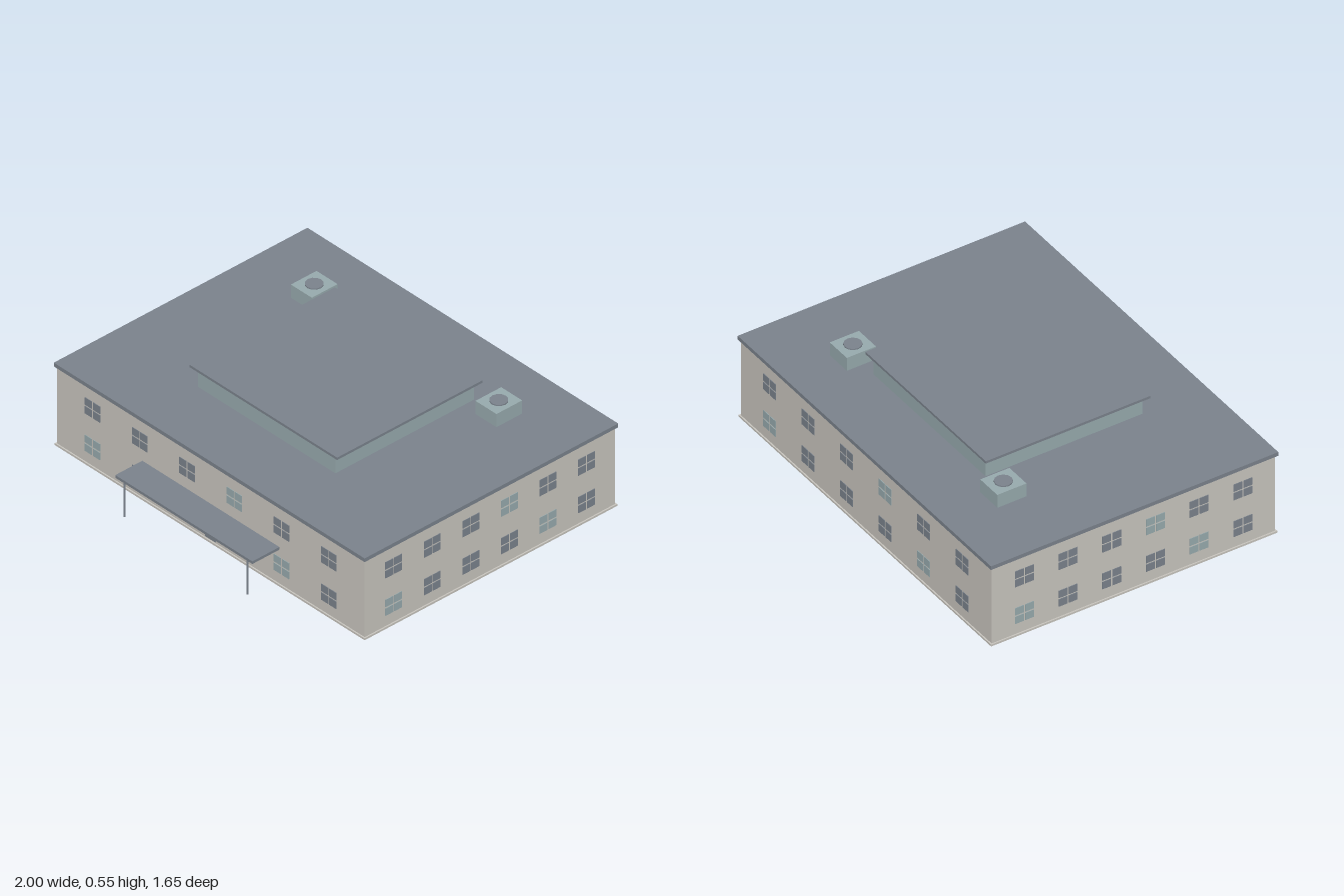
import * as THREE from 'three';

const mat = (name, color) => Object.assign(new THREE.MeshStandardMaterial({ color }), { name });

export function createModel() {
  const wall = mat('wallStone', 0xc9c6bf);
  const slate = mat('slate', 0x7b838d);
  const pale = mat('paleBlueGrey', 0x98abae);
  const model = new THREE.Group();
  model.name = 'officeBuilding';

  const add = (parent, name, geometry, material, x, y, z) => {
    const mesh = new THREE.Mesh(geometry, material);
    mesh.name = name;
    mesh.position.set(x, y, z);
    parent.add(mesh);
    return mesh;
  };
  // Box given by its width, bottom and top, depth and centre
  const box = (parent, name, material, w, y0, y1, d, x = 0, z = 0) =>
    add(parent, name, new THREE.BoxGeometry(w, y1 - y0, d), material, x, (y0 + y1) / 2, z);

  // Main block and its flat roof
  const cz = -0.075;
  const halfW = 0.99, halfD = 0.74;
  box(model, 'plinth', wall, 1.994, 0, 0.01, 1.494, 0, cz);
  box(model, 'walls', wall, halfW * 2, 0.01, 0.42, halfD * 2, 0, cz);
  box(model, 'roofSlab', slate, 2, 0.42, 0.44, 1.5, 0, cz);

  // Rooftop storey
  box(model, 'penthouseWalls', pale, 0.885, 0.44, 0.537, 0.82, 0, cz);
  box(model, 'penthouseRoof', slate, 0.95, 0.537, 0.55, 0.86, 0, cz);

  // Rooftop ventilation units
  for (const side of [-1, 1]) {
    const unit = new THREE.Group();
    unit.name = side > 0 ? 'leftVentUnit' : 'rightVentUnit';
    unit.position.set(side * 0.594, 0, -0.492);
    model.add(unit);
    box(unit, 'ventBox', pale, 0.135, 0.44, 0.51, 0.152);
    add(unit, 'ventFan', new THREE.CylinderGeometry(0.042, 0.042, 0.007, 12), slate, 0, 0.5125, 0);
  }

  // Four-pane windows in two rows, one group per facade
  const pane = new THREE.BoxGeometry(0.045, 0.039, 0.004);
  const lit = ['0,0', '0,4', '1,3'];
  const facade = (name, angle, distance, spacing) => {
    const group = new THREE.Group();
    group.name = name;
    group.rotation.y = angle;
    group.position.z = cz;
    model.add(group);
    [0.109, 0.309].forEach((y, row) => {
      for (let i = 0; i < 6; i++) {
        const material = lit.includes(`${row},${i}`) ? pale : slate;
        const window = new THREE.Group();
        window.name = 'window';
        window.position.set((i - 2.5) * spacing, y, distance + 0.001);
        group.add(window);
        for (const sx of [-1, 1]) for (const sy of [-1, 1])
          add(window, 'pane', pane, material, sx * 0.0262, sy * 0.0232, 0);
      }
    });
  };
  facade('frontWindows', 0, halfD, 0.304);
  facade('leftWindows', Math.PI / 2, halfW, 0.228);
  facade('backWindows', Math.PI, halfD, 0.304);
  facade('rightWindows', -Math.PI / 2, halfW, 0.228);

  // Entrance door with handle
  const front = cz + halfD;
  box(model, 'door', slate, 0.066, 0.018, 0.147, 0.008, 0, front + 0.001);
  add(model, 'doorHandle', new THREE.SphereGeometry(0.005, 10, 8), pale, 0.021, 0.072, front + 0.006);

  // Entrance canopy on two posts
  box(model, 'canopy', slate, 0.882, 0.19, 0.204, 0.16, 0, 0.745);
  for (const x of [-0.396, 0.396])
    add(model, 'canopyPost', new THREE.CylinderGeometry(0.005, 0.005, 0.19, 8), slate, x, 0.095, 0.812);

  return model;
}
